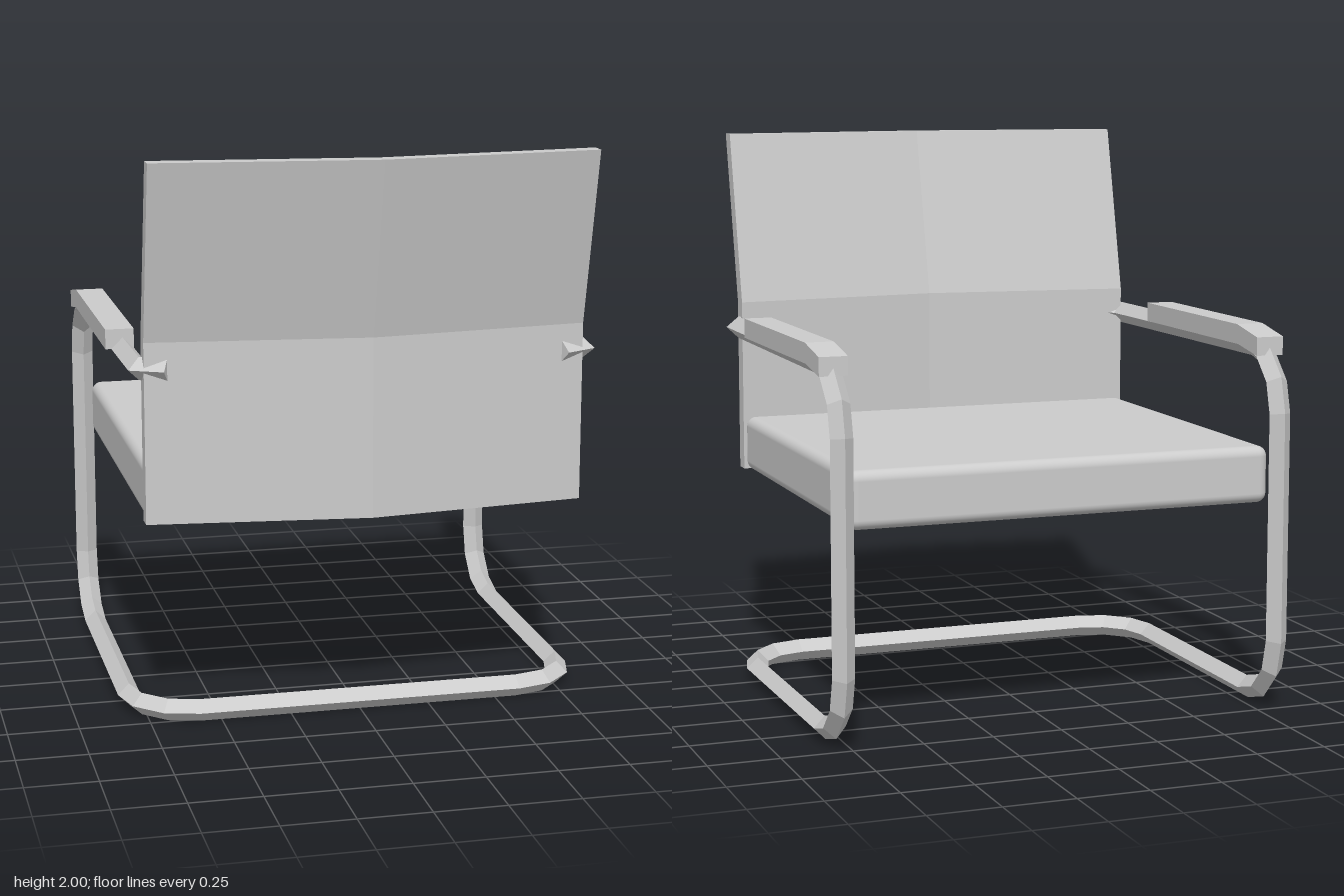
import * as THREE from 'three';
import { RoundedBoxGeometry } from 'three/addons/geometries/RoundedBoxGeometry.js';

const V = (x, y, z) => new THREE.Vector3(x, y, z);
const flat = new THREE.MeshStandardMaterial({ color: 0xcccccc, flatShading: true });
const smooth = new THREE.MeshStandardMaterial({ color: 0xcccccc });

function addMesh(group, name, geometry, material = flat) {
  const mesh = new THREE.Mesh(geometry, material);
  mesh.name = name;
  group.add(mesh);
  return mesh;
}

// Diamond section swept along a polyline, mitred at every corner
function mitredTube(path, r) {
  const dirs = path.slice(1).map((p, i) => p.clone().sub(path[i]).normalize());
  const u = V(0, 1, 0);
  const v = dirs[0].clone().cross(u);
  let ring = [[u, r], [v, r], [u, -r], [v, -r]].map(([a, s]) => path[0].clone().addScaledVector(a, s));
  const verts = [];
  const tri = (...pts) => pts.forEach((p) => verts.push(p.x, p.y, p.z));
  const cap = (c) => { tri(c[0], c[2], c[1]); tri(c[0], c[3], c[2]); };
  cap(ring);
  dirs.forEach((d, i) => {
    const normal = d.clone().add(dirs[i + 1] ?? d);
    const next = ring.map((p) => {
      const t = path[i + 1].clone().sub(p).dot(normal) / d.dot(normal);
      return p.clone().addScaledVector(d, t);
    });
    for (let k = 0; k < 4; k++) {
      const n = (k + 1) % 4;
      tri(ring[k], ring[n], next[n]);
      tri(ring[k], next[n], next[k]);
    }
    ring = next;
  });
  cap([...ring].reverse());
  const g = new THREE.BufferGeometry();
  g.setAttribute('position', new THREE.Float32BufferAttribute(verts, 3));
  g.computeVertexNormals();
  return g;
}

// Side profile given as [z, y] pairs, extruded across x
function sideExtrude(profile, width, steps = 1) {
  const shape = new THREE.Shape(profile.map(([z, y]) => new THREE.Vector2(z, y)));
  const g = new THREE.ExtrudeGeometry(shape, { depth: width, steps, bevelEnabled: false });
  return g.rotateY(-Math.PI / 2).translate(width / 2, 0, 0);
}

export function createModel() {
  const chair = new THREE.Group();
  chair.name = 'cantileverChair';

  // Continuous frame: half path on the left side, then its mirror
  const X = 0.795, R = 0.22, bend = [0, 30, 60, 90].map((a) => a * Math.PI / 180);
  const half = [
    V(0.69, 1.285, 0.61),
    V(0.78, 1.285, 0.565),
    ...bend.map((a) => V(X, 1.07 + R * Math.cos(a) - 0.005, -0.575 - R * Math.sin(a))),
    ...bend.map((a) => V(X, 0.26 - R * Math.sin(a), -0.575 - R * Math.cos(a))),
    ...bend.map((a) => V(X - R + R * Math.cos(a), 0.04, 0.295 + R * Math.sin(a))),
  ];
  const mirrored = half.map((p) => V(-p.x, p.y, p.z)).reverse();
  addMesh(chair, 'tubeFrame', mitredTube([...half, ...mirrored], 0.04));

  // Armrest pads
  const padProfile = [
    [0.23, 1.285], [0.23, 1.355], [-0.55, 1.355],
    [-0.71, 1.325], [-0.71, 1.26], [-0.56, 1.285],
  ];
  for (const [name, side] of [['leftArmrest', 1], ['rightArmrest', -1]]) {
    addMesh(chair, name, sideExtrude(padProfile, 0.1)).position.x = side * X;
  }

  // Seat cushion
  const seat = new RoundedBoxGeometry(1.53, 0.2, 1.325, 4, 0.035);
  addMesh(chair, 'seat', seat, smooth).position.set(0, 0.85, -0.117);

  // Backrest: bent in profile and folded along its centre line
  const back = sideExtrude([
    [0.545, 0.75], [0.605, 0.75], [0.605, 1.38],
    [0.75, 2], [0.69, 2], [0.545, 1.38],
  ], 1.54, 2);
  const pos = back.attributes.position;
  for (let i = 0; i < pos.count; i++) {
    pos.setZ(i, pos.getZ(i) + 0.085 * (1 - Math.abs(pos.getX(i)) / 0.77));
  }
  back.computeVertexNormals();
  addMesh(chair, 'backrest', back);

  return chair;
}
